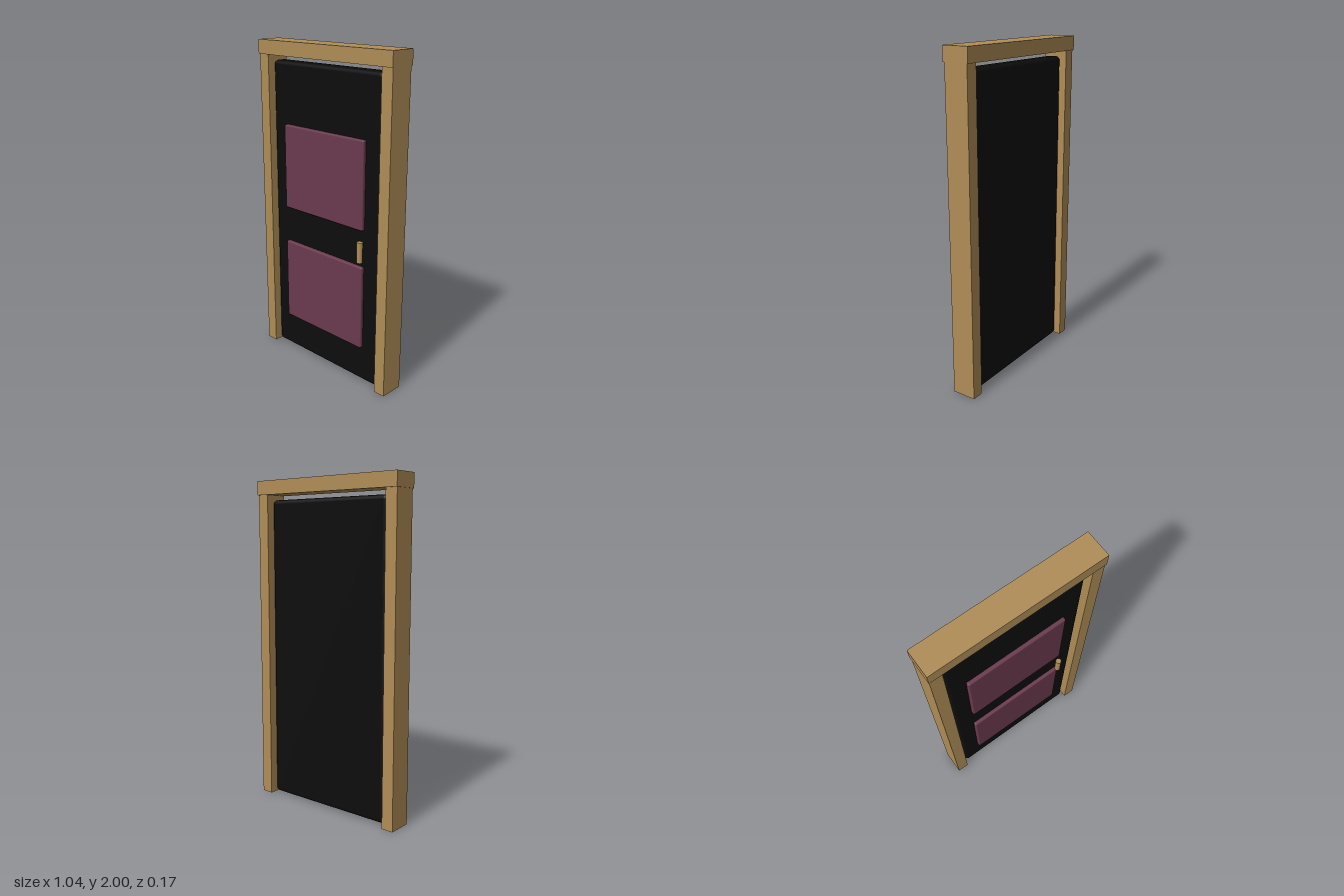
import * as THREE from 'three';
import { RoundedBoxGeometry } from 'three/addons/geometries/RoundedBoxGeometry.js';

export function createModel() {
  const model = new THREE.Group();
  model.name = 'framedDoor';

  const material = (name, color) => {
    const m = new THREE.MeshStandardMaterial({ color });
    m.name = name;
    return m;
  };
  const wood = material('tan wood', 0xb08d57);
  const black = material('black paint', 0x0d0d0d);
  const plum = material('plum panel', 0x6b3a4f);

  const add = (name, geometry, mat, x, y, z) => {
    const mesh = new THREE.Mesh(geometry, mat);
    mesh.name = name;
    mesh.position.set(x, y, z);
    model.add(mesh);
  };

  const midZ = -0.005; // shared centre plane of frame and leaf

  // Frame: two posts under a slightly wider lintel
  for (const [side, name] of [[1, 'leftPost'], [-1, 'rightPost']]) {
    add(name, new THREE.BoxGeometry(0.074, 1.915, 0.147), wood, side * 0.481, 0.9575, midZ);
  }
  add('lintel', new THREE.BoxGeometry(1.044, 0.085, 0.162), wood, 0, 1.9575, midZ);

  // Door leaf with rounded edges
  add('doorLeaf', new RoundedBoxGeometry(0.865, 1.872, 0.09, 4, 0.025), black, 0, 0.947, midZ);

  // Raised panels on the front face
  for (const [y, name] of [[0.5, 'lowerPanel'], [1.248, 'upperPanel']]) {
    add(name, new RoundedBoxGeometry(0.642, 0.524, 0.045, 3, 0.01), plum, 0, y, 0.04);
  }

  // Upright pull handle
  add('handle', new THREE.CylinderGeometry(0.0175, 0.0175, 0.125, 24), wood, 0.312, 0.86, 0.0685);

  return model;
}
